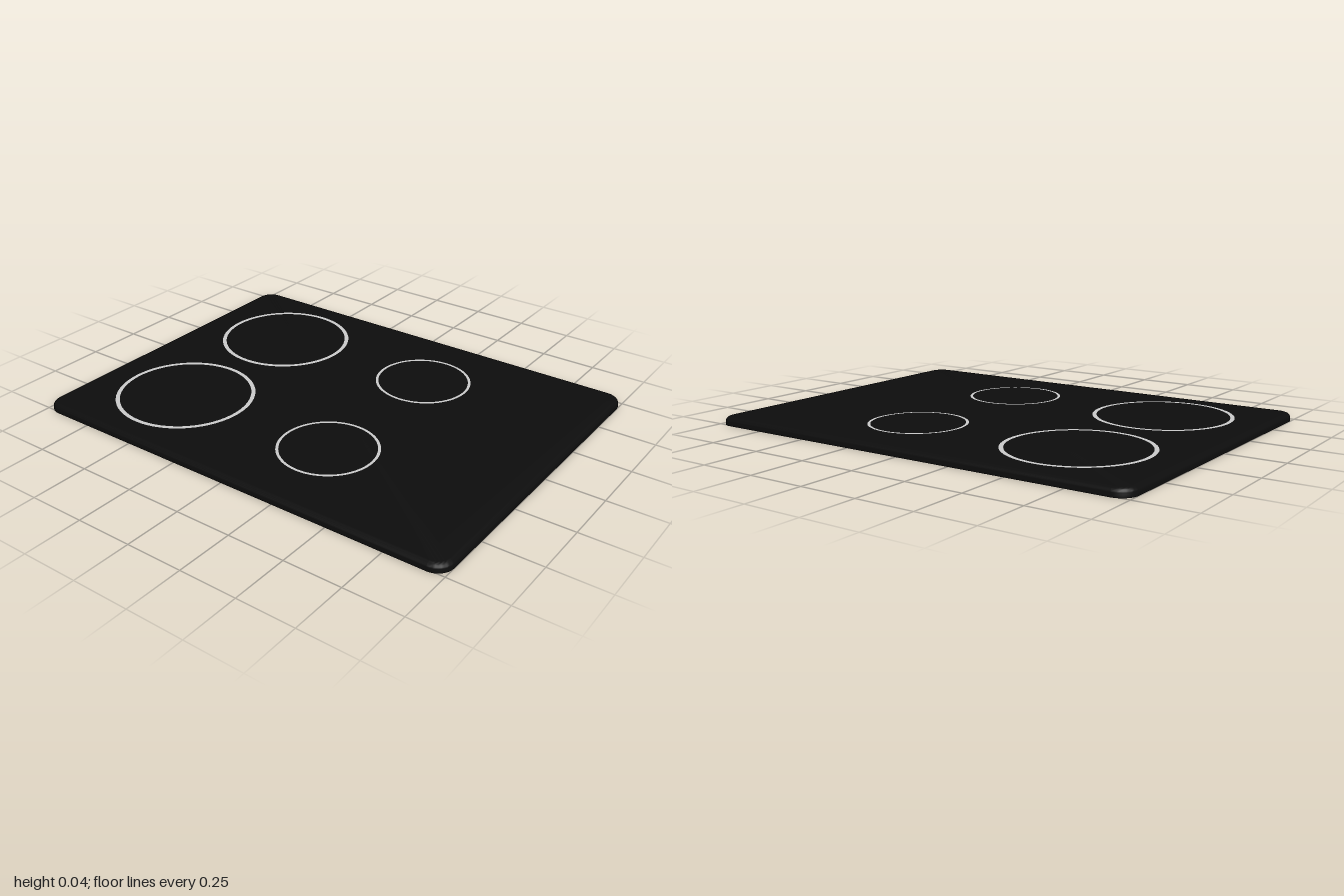
import * as THREE from 'three';
import { toCreasedNormals } from 'three/addons/utils/BufferGeometryUtils.js';

const HALF_W = 1, HALF_D = 0.76, HEIGHT = 0.034, CORNER = 0.07, EDGE = 0.022;

// Rounded rectangle loop; the corner centres stay put while the radius shrinks by the inset
function section(inset, y, steps = 10) {
  const points = [];
  const signs = [[1, 1], [-1, 1], [-1, -1], [1, -1]];
  signs.forEach(([sx, sz], corner) => {
    for (let i = 0; i <= steps; i++) {
      const a = (corner + i / steps) * Math.PI / 2;
      const r = CORNER - inset;
      points.push([
        sx * (HALF_W - CORNER) + r * Math.cos(a), y,
        sz * (HALF_D - CORNER) + r * Math.sin(a),
      ]);
    }
  });
  return points;
}

// Slab with a flat underside and a softly rounded upper edge
function slabGeometry() {
  const loops = [section(0, 0)];
  for (let i = 0; i <= 6; i++) {
    const a = (i / 6) * Math.PI / 2;
    loops.push(section(EDGE * (1 - Math.cos(a)), HEIGHT - EDGE + EDGE * Math.sin(a)));
  }
  const n = loops[0].length;
  const positions = loops.flat(2);
  positions.push(0, 0, 0, 0, HEIGHT, 0);
  const bottom = loops.length * n, top = bottom + 1, last = (loops.length - 1) * n;
  const index = [];
  for (let i = 0; i < n; i++) {
    const j = (i + 1) % n;
    for (let k = 0; k < loops.length - 1; k++) {
      const a = k * n + i, b = k * n + j;
      index.push(a, a + n, b, b, a + n, b + n);
    }
    index.push(bottom, i, j, top, last + j, last + i);
  }
  const geometry = new THREE.BufferGeometry();
  geometry.setAttribute('position', new THREE.Float32BufferAttribute(positions, 3));
  geometry.setIndex(index);
  return toCreasedNormals(geometry, Math.PI / 5);
}

export function createModel() {
  const model = new THREE.Group();
  model.name = 'cooktop';

  const glass = new THREE.MeshStandardMaterial({ color: 0x0d0d0d });
  const marking = new THREE.MeshStandardMaterial({ color: 0xcccccc });

  const slab = new THREE.Mesh(slabGeometry(), glass);
  slab.name = 'glassPlate';
  model.add(slab);

  // Thin printed rings marking the four cooking zones
  const zones = [
    ['backLargeZone', -0.56, -0.35, 0.304, 0.018],
    ['frontLargeZone', -0.56, 0.352, 0.304, 0.018],
    ['backSmallZone', 0.215, -0.364, 0.212, 0.012],
    ['frontSmallZone', 0.215, 0.352, 0.212, 0.012],
  ];
  for (const [name, x, z, radius, width] of zones) {
    const ring = new THREE.Mesh(new THREE.RingGeometry(radius - width, radius, 64), marking);
    ring.name = name;
    ring.rotation.x = -Math.PI / 2;
    ring.position.set(x, HEIGHT + 0.001, z);
    model.add(ring);
  }
  return model;
}
